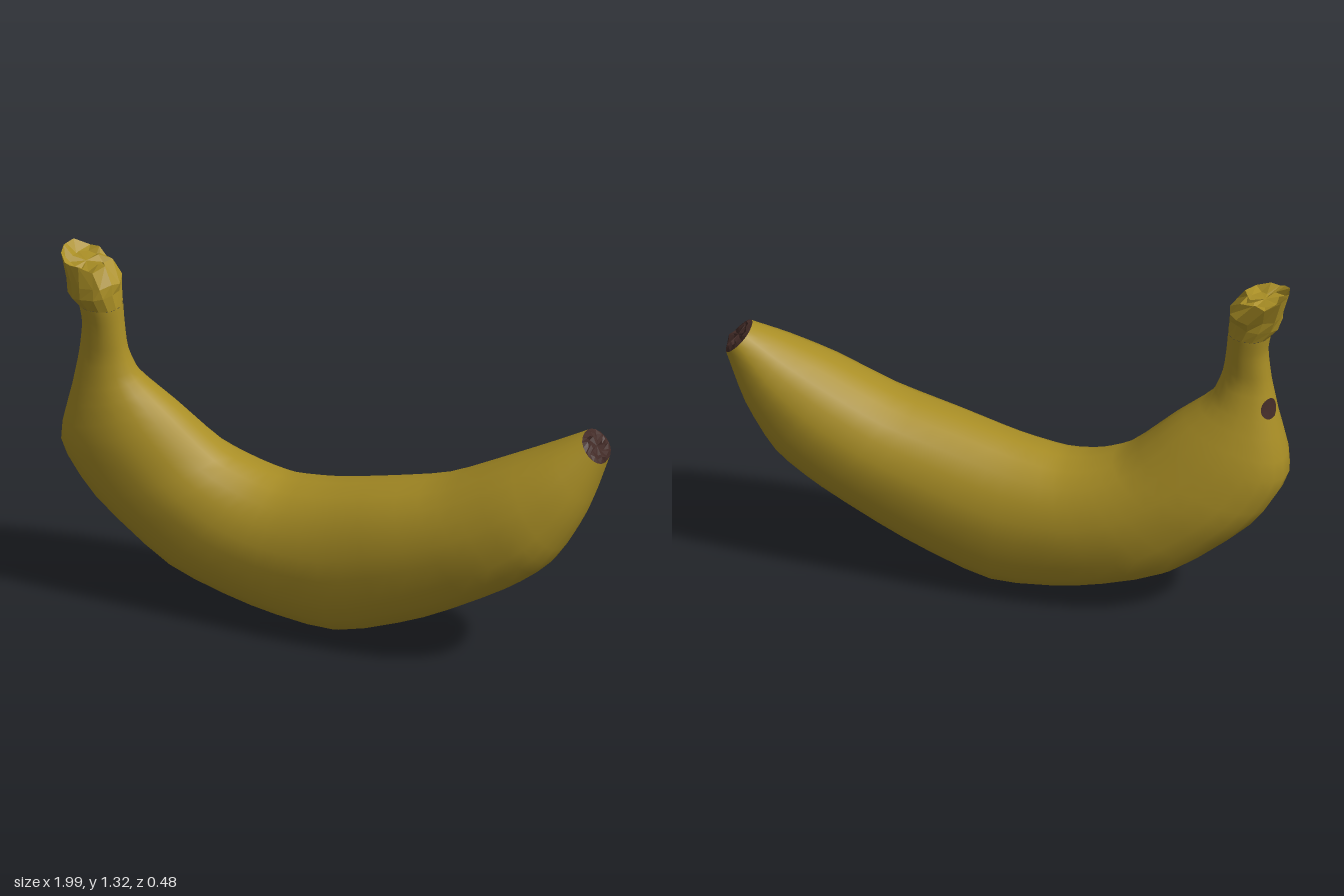
import * as THREE from 'three';

// Small seeded generator for ragged edges
function seeded(seed) {
  return () => (seed = (seed * 16807) % 2147483647) / 2147483647;
}

// Section: [outerX, outerY, innerX, innerY, backZ, frontZ]
const BODY = [
  [-0.930, 1.13, -0.778, 1.13, -0.066, 0.085],
  [-0.918, 1.05, -0.772, 1.05, -0.062, 0.078],
  [-0.930, 0.93, -0.758, 0.95, -0.062, 0.077],
  [-0.955, 0.80, -0.715, 0.85, -0.097, 0.095],
  [-0.998, 0.57, -0.580, 0.735, -0.165, 0.138],
  [-0.885, 0.375, -0.420, 0.59, -0.215, 0.155],
  [-0.600, 0.14, -0.290, 0.54, -0.238, 0.170],
  [-0.280, 0.035, -0.180, 0.525, -0.236, 0.190],
  [0.040, 0.003, -0.020, 0.55, -0.220, 0.215],
  [0.360, 0.125, 0.180, 0.60, -0.200, 0.233],
  [0.660, 0.300, 0.400, 0.66, -0.185, 0.235],
  [0.820, 0.430, 0.620, 0.77, -0.168, 0.210],
  [0.925, 0.620, 0.780, 0.85, -0.140, 0.145],
  [0.992, 0.825, 0.905, 0.914, -0.102, 0.060],
];
const HEAD = [
  [-0.930, 1.13, -0.778, 1.13, -0.066, 0.085],
  [-0.965, 1.17, -0.785, 1.19, -0.070, 0.100],
  [-0.980, 1.23, -0.790, 1.22, -0.075, 0.097],
  [-0.998, 1.31, -0.835, 1.285, -0.085, 0.080],
  [-0.965, 1.29, -0.855, 1.27, -0.055, 0.055],
];
const TIP = [
  [0.992, 0.825, 0.905, 0.914, -0.102, 0.060],
  [0.986, 0.842, 0.920, 0.906, -0.085, 0.045],
  [0.974, 0.852, 0.930, 0.894, -0.055, 0.020],
];

// Smoothly add sections between the given ones
function refine(sections, steps) {
  const curve = (k) => new THREE.CatmullRomCurve3(
    sections.map((s) => new THREE.Vector3(s[k], s[k + 1], 0)), false, 'catmullrom', 0.35);
  const outer = curve(0), inner = curve(2), widths = curve(4), out = [];
  const n = (sections.length - 1) * steps;
  for (let i = 0; i <= n; i++) {
    const o = outer.getPoint(i / n), a = inner.getPoint(i / n), w = widths.getPoint(i / n);
    out.push([o.x, o.y, a.x, a.y, w.x, w.y]);
  }
  return out;
}

// Skin rounded sections, fuller on the outer side; optional end cap and ragged rings
function loft(sections, { sides = 20, cap = false, flip = false, ragged = () => 0, seed = 7 } = {}) {
  const pos = [], index = [], rand = seeded(seed);
  const soft = (v, e) => Math.sign(v) * Math.abs(v) ** e / 2;
  const face = (a, b, c) => (flip ? index.push(a, c, b) : index.push(a, b, c));
  sections.forEach(([ox, oy, ix, iy, zb, zf], i) => {
    const r = ragged(i);
    for (let j = 0; j < sides; j++) {
      const t = (j / sides) * Math.PI * 2, c = Math.cos(t);
      const u = soft(c, c > 0 ? 1.05 : 0.85), w = soft(Math.sin(t), 0.88);
      pos.push(
        (ox + ix) / 2 + (ix - ox) * u + (rand() - 0.5) * r,
        (oy + iy) / 2 + (iy - oy) * u + (rand() - 0.5) * r,
        (zb + zf) / 2 + (zf - zb) * w + (rand() - 0.5) * r);
    }
  });
  for (let i = 0; i < sections.length - 1; i++) {
    for (let j = 0; j < sides; j++) {
      const a = i * sides + j, b = i * sides + (j + 1) % sides;
      face(a, b, a + sides);
      face(b, b + sides, a + sides);
    }
  }
  if (cap) {
    const last = sections.length - 1, [ox, oy, ix, iy, zb, zf] = sections[last];
    const c = pos.length / 3;
    pos.push((ox + ix) / 2, (oy + iy) / 2, (zb + zf) / 2);
    for (let j = 0; j < sides; j++) face(c, last * sides + j, last * sides + (j + 1) % sides);
  }
  const g = new THREE.BufferGeometry();
  g.setAttribute('position', new THREE.Float32BufferAttribute(pos, 3));
  g.setIndex(index);
  g.computeVertexNormals();
  return g;
}

// Hard-edged copy of a geometry
function faceted(geometry) {
  const g = geometry.toNonIndexed();
  g.computeVertexNormals();
  return g;
}

// Round patch laid onto a surface, seen from a direction
function patchOn(mesh, target, from, radius) {
  const g = new THREE.CircleGeometry(radius, 18);
  const turn = new THREE.Quaternion().setFromUnitVectors(new THREE.Vector3(0, 0, 1), from);
  const p = g.attributes.position, v = new THREE.Vector3(), down = from.clone().negate();
  for (let i = 0; i < p.count; i++) {
    v.fromBufferAttribute(p, i).applyQuaternion(turn).add(target).addScaledVector(from, 0.3);
    const hit = new THREE.Raycaster(v, down).intersectObject(mesh)[0];
    if (hit) v.copy(hit.point).addScaledVector(from, 0.005);
    else v.addScaledVector(from, -0.3);
    p.setXYZ(i, v.x, v.y, v.z);
  }
  g.computeVertexNormals();
  return g;
}

export function createModel() {
  const peel = new THREE.MeshStandardMaterial({ color: 0xa98e25 });
  peel.name = 'yellowPeel';
  const brown = new THREE.MeshStandardMaterial({ color: 0x412a26 });
  brown.name = 'darkBrown';
  const group = new THREE.Group();
  group.name = 'banana';
  const add = (name, geometry, material) => {
    const mesh = new THREE.Mesh(geometry, material);
    mesh.name = name;
    group.add(mesh);
    return mesh;
  };

  // Curved fruit from the neck to the far end
  const body = add('body', loft(refine(BODY, 3)), peel);

  // Torn stem head, running upwards so its skin is flipped outward
  add('stemHead', faceted(loft(HEAD, {
    sides: 14, cap: true, flip: true, seed: 31, ragged: (i) => [0, 0.012, 0.02, 0.03, 0.03][i],
  })), peel);

  // Dried, slightly sunken blossom end
  add('blossomTip', faceted(loft(TIP, {
    cap: true, seed: 11, ragged: (i) => [0, 0.012, 0.015][i],
  })), brown);

  // Dark spot on the outside of the neck
  const outward = new THREE.Vector3(-0.72, 0.3, -0.62).normalize();
  add('neckSpot', patchOn(body, new THREE.Vector3(-0.94, 0.85, -0.05), outward, 0.038), brown);

  return group;
}
